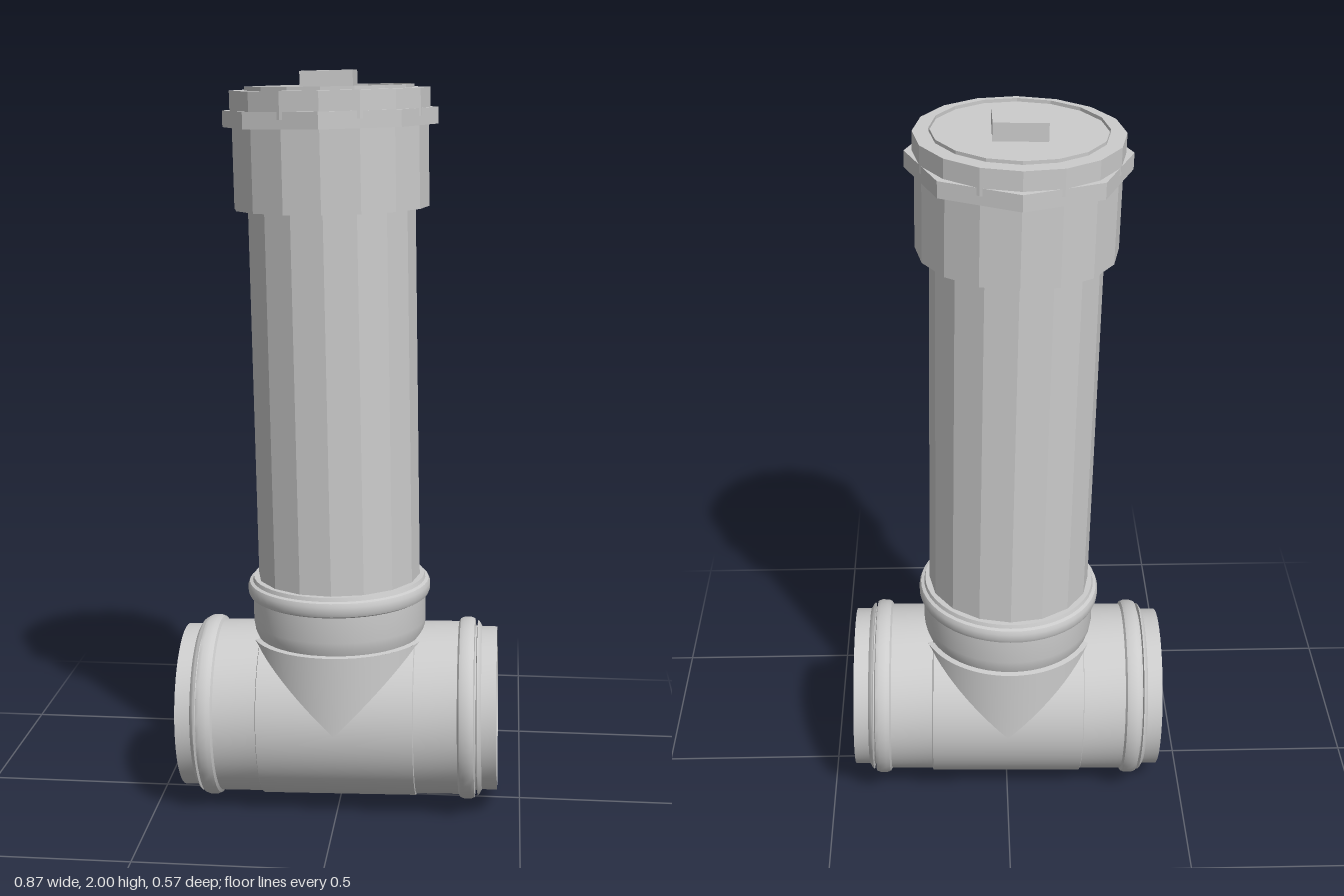
import * as THREE from 'three';
import { toCreasedNormals } from 'three/addons/utils/BufferGeometryUtils.js';

const smooth = new THREE.MeshStandardMaterial({ color: 0xcccccc, side: THREE.DoubleSide });
const faceted = new THREE.MeshStandardMaterial({ color: 0xcccccc, side: THREE.DoubleSide, flatShading: true });

export function createModel() {
  const model = new THREE.Group();
  model.name = 'pipeTeeWithRiser';

  // Everything hangs on the centre of the tee, which leans slightly
  const assembly = new THREE.Group();
  assembly.name = 'assembly';
  assembly.position.y = 0.262;
  assembly.rotation.z = 0.02;
  model.add(assembly);

  const add = (name, geometry, material = smooth) => {
    const mesh = new THREE.Mesh(geometry, material);
    mesh.name = name;
    assembly.add(mesh);
    return mesh;
  };
  const lathe = (points, sides = 48) =>
    new THREE.LatheGeometry(points.map(([r, y]) => new THREE.Vector2(r, y)), sides);

  const R = 0.243;      // radius of the tee body
  const half = 0.21;    // half length of the tee body

  // Half of the run of the tee, cut back along the joint with the branch
  const halfBody = new THREE.CylinderGeometry(R, R, 2 * half, 64, 1, true).rotateZ(-Math.PI / 2);
  const body = halfBody.attributes.position;
  for (let i = 0; i < body.count; i++) {
    if (body.getX(i) < 0) body.setX(i, THREE.MathUtils.clamp(body.getY(i), 0, half));
  }

  // Socket end with bead, groove, flared lip, thin spigot and bore
  const endProfile = [
    [0.243, 0.21], [0.238, 0.212], [0.238, 0.328], [0.246, 0.333], [0.25, 0.343],
    [0.25, 0.362], [0.246, 0.372], [0.226, 0.374], [0.226, 0.378], [0.241, 0.38],
    [0.238, 0.384], [0.224, 0.392], [0.224, 0.433], [0.216, 0.433], [0.216, 0.385],
    [0.23, 0.372], [0.23, 0.34], [0.212, 0.333], [0.212, 0.25], [0.235, 0.21],
  ];
  const endGeometry = toCreasedNormals(lathe(endProfile), 0.6);
  for (const [side, s] of [['left', 1], ['right', -1]]) {
    add(side + 'TeeBody', halfBody).rotation.y = s > 0 ? 0 : Math.PI;
    add(side + 'SocketEnd', endGeometry).rotation.z = -s * Math.PI / 2;
  }

  // Branch, its lower edge following the saddle on the run
  const branchTop = 0.22;
  const branch = new THREE.CylinderGeometry(R, R, 2 * branchTop, 64, 1, true);
  const bp = branch.attributes.position;
  for (let i = 0; i < bp.count; i++) {
    if (bp.getY(i) < 0) bp.setY(i, Math.min(Math.abs(bp.getX(i)), branchTop));
  }
  add('branch', branch);

  // Socket above the branch with a rounded bead
  add('branchSocket', toCreasedNormals(lathe([
    [R, 0.22], [0.228, 0.222], [0.234, 0.24], [0.237, 0.26], [0.237, 0.33],
    [0.246, 0.335], [0.25, 0.345], [0.25, 0.362], [0.246, 0.372], [0.237, 0.375],
    [0.234, 0.385], [0.215, 0.385], [0.215, 0.25],
  ]), 0.6));

  // Sixteen-sided riser and the sleeve at its top
  add('riserPipe', new THREE.CylinderGeometry(0.222, 0.222, 1.37, 16, 1, true).translate(0, 1.015, 0), faceted);
  add('topSleeve', lathe([[0.22, 1.386], [0.258, 1.386], [0.258, 1.62], [0.22, 1.62]], 16), faceted);

  // Screw cap: octagonal nut, round lid and square key
  add('capNut', new THREE.CylinderGeometry(0.283, 0.283, 0.043, 8).translate(0, 1.619, 0), faceted);
  add('capLid', new THREE.CylinderGeometry(0.263, 0.263, 0.07, 16).translate(0, 1.656, 0), faceted);
  add('capKey', new THREE.BoxGeometry(0.137, 0.06, 0.137).translate(0, 1.708, 0), faceted);

  return model;
}
